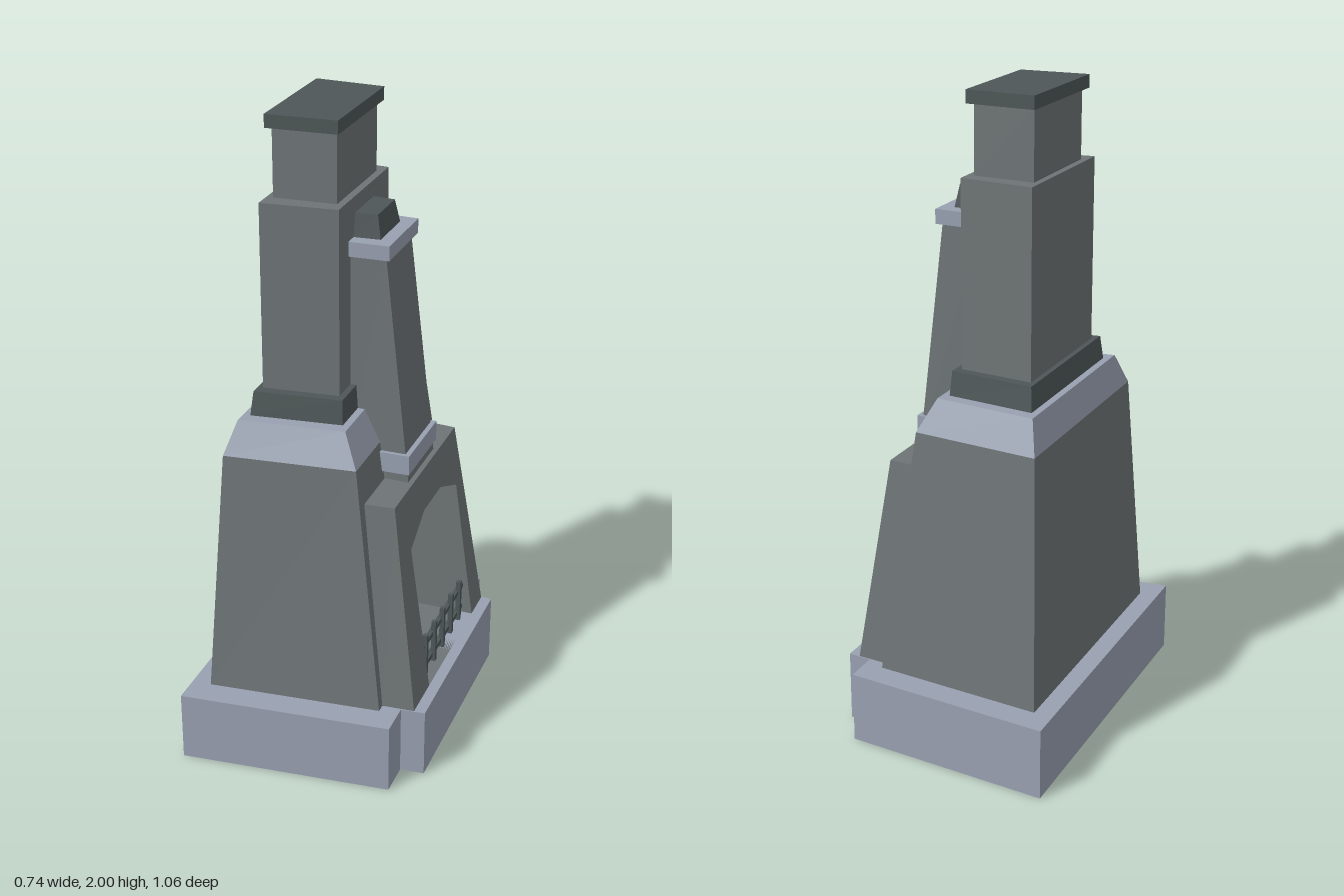
import * as THREE from 'three';

const mat = (color) => new THREE.MeshStandardMaterial({ color, flatShading: true, side: THREE.DoubleSide });

export function createModel() {
  const group = new THREE.Group();
  const trim = mat(0x98a0b0), stone = mat(0x6e7476), dark = mat(0x4e5657);

  const add = (name, geometry, material) => {
    const mesh = new THREE.Mesh(geometry, material);
    mesh.name = name;
    group.add(mesh);
    return mesh;
  };

  const fromQuads = (quads) => {
    const pos = [];
    for (const [a, b, c, d] of quads) for (const p of [a, b, c, a, c, d]) pos.push(...p);
    const g = new THREE.BufferGeometry();
    g.setAttribute('position', new THREE.Float32BufferAttribute(pos, 3));
    g.computeVertexNormals();
    return g;
  };

  // Four-sided tapered block between two levels; each level is
  // [y, back x, front x, half width at back, half width at front].
  // With open set, the +x and -x faces are left out where asked.
  const block = (name, material, lower, upper, open = []) => {
    const ring = ([y, x0, x1, h0, h1]) => [[x0, y, h0], [x1, y, h1], [x1, y, -h1], [x0, y, -h0]];
    const a = ring(lower), b = ring(upper);
    const quads = [[a[3], a[2], a[1], a[0]], b];
    for (let i = 0; i < 4; i++) {
      if (open.includes(i)) continue;
      const j = (i + 1) % 4;
      quads.push([a[i], a[j], b[j], b[i]]);
    }
    return add(name, fromQuads(quads), material);
  };
  const FRONT = 1, BACK = 3;

  // Plinth
  block('plinth', trim, [0, -0.37, 0.29, 0.53, 0.465], [0.225, -0.37, 0.29, 0.53, 0.465]);
  block('hearthStep', trim, [0, 0.29, 0.365, 0.357, 0.35], [0.225, 0.29, 0.365, 0.357, 0.35]);

  // Main body, shoulder and collar
  block('body', stone, [0.225, -0.31, 0.23, 0.44, 0.387], [1.0, -0.274, 0.13, 0.368, 0.323], [FRONT]);
  block('shoulder', trim, [1.0, -0.274, 0.13, 0.368, 0.323], [1.1, -0.245, 0.08, 0.318, 0.279]);
  block('collar', dark, [1.1, -0.223, 0.058, 0.276, 0.242], [1.175, -0.216, 0.053, 0.264, 0.233]);

  // Main chimney
  block('chimneyShaft', stone, [1.175, -0.2, 0.034, 0.23, 0.206], [1.75, -0.2, 0.034, 0.23, 0.206]);
  block('chimneyNeck', stone, [1.75, -0.18, 0.012, 0.172, 0.162], [1.96, -0.18, 0.012, 0.172, 0.162]);
  block('chimneyCap', dark, [1.96, -0.192, 0.025, 0.198, 0.187], [2.0, -0.192, 0.025, 0.198, 0.187]);

  // Fireplace surround projecting from the body
  block('surround', stone, [0.225, 0.23, 0.33, 0.358, 0.35], [0.88, 0.145, 0.238, 0.295, 0.287], [FRONT, BACK]);

  // Arched opening outline as [-z, y]
  const arch = [[-0.205, 0.225], [-0.205, 0.7], [-0.06, 0.76], [0.1, 0.76], [0.24, 0.7], [0.24, 0.225]];

  // Sloping wall with the arch cut out of it
  const archedWall = (name, y0, y1, x0, x1, w0, w1) => {
    const outline = [[-w0, y0], ...arch, [w0, y0], [w1, y1], [-w1, y1]];
    const g = new THREE.ShapeGeometry(new THREE.Shape(outline.map(([u, v]) => new THREE.Vector2(u, v))));
    const p = g.attributes.position;
    for (let i = 0; i < p.count; i++) {
      const u = p.getX(i), v = p.getY(i);
      p.setXYZ(i, THREE.MathUtils.mapLinear(v, y0, y1, x0, x1), v, -u);
    }
    g.computeVertexNormals();
    add(name, g, stone);
  };
  archedWall('bodyFront', 0.225, 1.0, 0.23, 0.13, 0.387, 0.323);
  archedWall('surroundFront', 0.225, 0.88, 0.33, 0.238, 0.35, 0.287);

  // Firebox lining and back wall
  const backX = -0.1;
  const faceX = (y) => THREE.MathUtils.mapLinear(y, 0.225, 0.88, 0.33, 0.238);
  const lining = [];
  for (let i = 0; i < arch.length - 1; i++) {
    const [u, v] = arch[i], [s, t] = arch[i + 1];
    lining.push([[faceX(v), v, -u], [faceX(t), t, -s], [backX, t, -s], [backX, v, -u]]);
  }
  const back = arch.map(([u, v]) => [backX, v, -u]);
  lining.push([back[0], back[5], back[4], back[1]], [back[1], back[4], back[3], back[2]]);
  add('firebox', fromQuads(lining), stone);

  // Fire grate
  for (let i = 0; i < 5; i++) {
    const post = add('gratePost', new THREE.BoxGeometry(0.015, 0.145, 0.015), dark);
    post.position.set(0.297, 0.2975, -0.193 + i * 0.0855);
  }
  for (const y of [0.25, 0.328]) {
    const rail = add('grateRail', new THREE.BoxGeometry(0.015, 0.016, 0.445), dark);
    rail.position.set(0.289, y, -0.0175);
  }

  // Sloping front flue with its bands and crown
  block('flue', stone, [0.88, 0.02, 0.222, 0.12, 0.12], [1.585, 0.02, 0.142, 0.115, 0.109]);
  block('flueLowerBand', trim, [0.91, 0.1, 0.227, 0.132, 0.13], [0.973, 0.1, 0.227, 0.132, 0.13]);
  block('flueUpperBand', trim, [1.585, 0.03, 0.157, 0.132, 0.127], [1.63, 0.03, 0.157, 0.132, 0.127]);
  block('flueCrown', dark, [1.63, 0.03, 0.115, 0.09, 0.084], [1.7, 0.03, 0.102, 0.078, 0.072]);

  return group;
}
